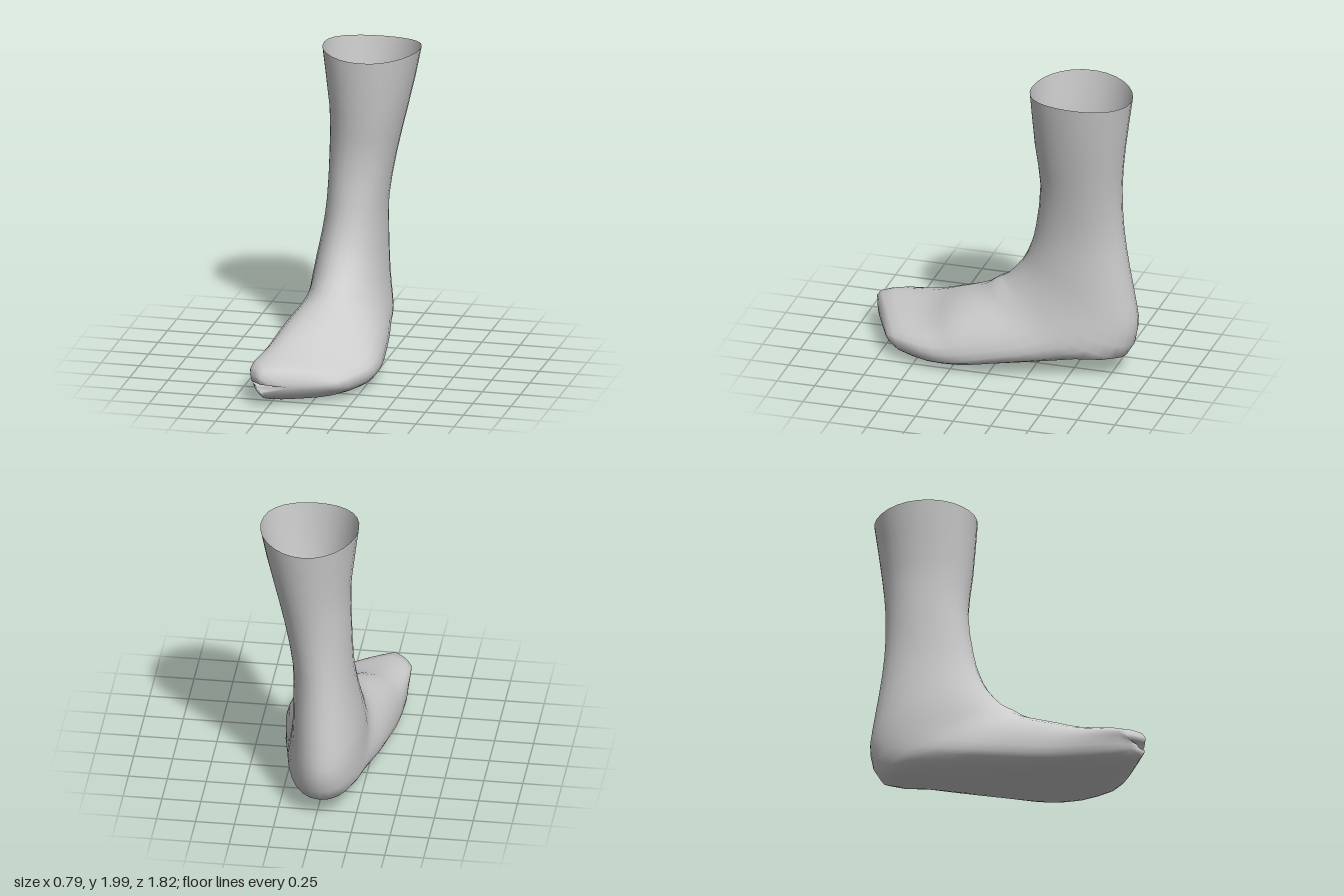
import * as THREE from 'three';

const { clamp, smoothstep } = THREE.MathUtils;

// Sections from cuff to toe, each spanned between an instep point and a heel/sole point:
// [instep z, y, sole z, y, min x, max x]
const SECTIONS = [
  [-0.24, 1.98, -0.90, 1.96, -0.24, 0.39],
  [-0.265, 1.60, -0.85, 1.60, -0.19, 0.305],
  [-0.29, 1.30, -0.82, 1.30, -0.19, 0.235],
  [-0.25, 1.00, -0.825, 1.00, -0.20, 0.185],
  [-0.21, 0.85, -0.86, 0.72, -0.225, 0.18],
  [-0.15, 0.72, -0.90, 0.47, -0.255, 0.185],
  [-0.05, 0.60, -0.91, 0.32, -0.27, 0.20],
  [0.03, 0.555, -0.84, 0.14, -0.28, 0.225],
  [0.10, 0.50, -0.60, 0.115, -0.305, 0.25],
  [0.20, 0.45, -0.30, 0.08, -0.345, 0.29],
  [0.35, 0.385, 0.00, 0.045, -0.375, 0.32],
  [0.50, 0.32, 0.25, 0.02, -0.39, 0.325],
  [0.70, 0.275, 0.58, 0.01, -0.40, 0.305],
  [0.88, 0.24, 0.82, 0.03, -0.38, 0.22],
  [0.91, 0.16, 0.90, 0.10, -0.33, 0.13],
];
const SIDES = 28;
const STEPS = 2; // rows per section
const TOE_X = -0.29; // foremost point of the toes

// Catmull-Rom blend of all section values
function sectionAt(i, t) {
  const at = (k) => SECTIONS[clamp(k, 0, SECTIONS.length - 1)];
  const [a, b, c, d] = [at(i - 1), at(i), at(i + 1), at(i + 2)];
  return b.map((v, k) => 0.5 * (2 * v + (c[k] - a[k]) * t
    + (2 * a[k] - 5 * v + 4 * c[k] - d[k]) * t * t
    + (3 * v - a[k] - 3 * c[k] + d[k]) * t * t * t));
}

const rounded = (v, n) => Math.sign(v) * Math.abs(v) ** (2 / n);

function ringPoint([fz, fy, bz, by, x0, x1], angle, lift) {
  // Round leg turning into a foot with a flat sole, a ridge toward the big toe and a slanted tip
  const square = 2 + 0.8 * smoothstep(fz, -0.1, 0.4);
  const widest = 0.5 - 0.14 * smoothstep(fz, -0.1, 0.2) + 0.12 * smoothstep(fz, 0.35, 0.9);
  const ridge = -0.2 * smoothstep(fz, -0.1, 0.9);
  const slant = 0.45 * smoothstep(fz, 0.25, 0.9);

  const n = Math.sin(angle) < 0 ? square : 2.1;
  const c = rounded(Math.cos(angle), n);
  const s = rounded(Math.sin(angle), n);
  const x = (x0 + x1) / 2 + c * (x1 - x0) / 2 + ridge * Math.max(s, 0) ** 2;
  const along = s > 0 ? widest + s * (1 - widest) : widest + s * widest;
  const setBack = slant * (x > TOE_X ? x - TOE_X : 2.5 * (TOE_X - x));
  return [x, by + (fy - by) * along + lift * c * c, bz + (fz - bz) * along - setBack];
}

function sockGeometry() {
  const positions = [];
  const index = [];
  const rows = (SECTIONS.length - 1) * STEPS + 1;
  for (let r = 0; r < rows; r++) {
    const section = sectionAt(Math.floor(r / STEPS), (r % STEPS) / STEPS);
    const lift = r === 0 ? 0.03 : 0; // wavy cuff edge
    for (let j = 0; j < SIDES; j++) {
      positions.push(...ringPoint(section, (j / SIDES) * Math.PI * 2, lift));
    }
  }
  for (let r = 0; r < rows - 1; r++) {
    for (let j = 0; j < SIDES; j++) {
      const a = r * SIDES + j;
      const b = r * SIDES + (j + 1) % SIDES;
      index.push(a, b, a + SIDES, b, b + SIDES, a + SIDES);
    }
  }
  // Close the toe across its slanted tip
  const last = (rows - 1) * SIDES;
  const tip = positions.length / 3;
  positions.push(-0.12, 0.13, 0.835);
  for (let j = 0; j < SIDES; j++) index.push(last + j, last + (j + 1) % SIDES, tip);

  const geometry = new THREE.BufferGeometry();
  geometry.setAttribute('position', new THREE.Float32BufferAttribute(positions, 3));
  geometry.setIndex(index);
  geometry.computeVertexNormals();
  return geometry;
}

export function createModel() {
  const group = new THREE.Group();
  group.name = 'sock';
  // Open cuff, so the inside shows too
  const material = new THREE.MeshStandardMaterial({ color: 0xcccccc, side: THREE.DoubleSide });
  const sock = new THREE.Mesh(sockGeometry(), material);
  sock.name = 'sockBody';
  group.add(sock);
  return group;
}
